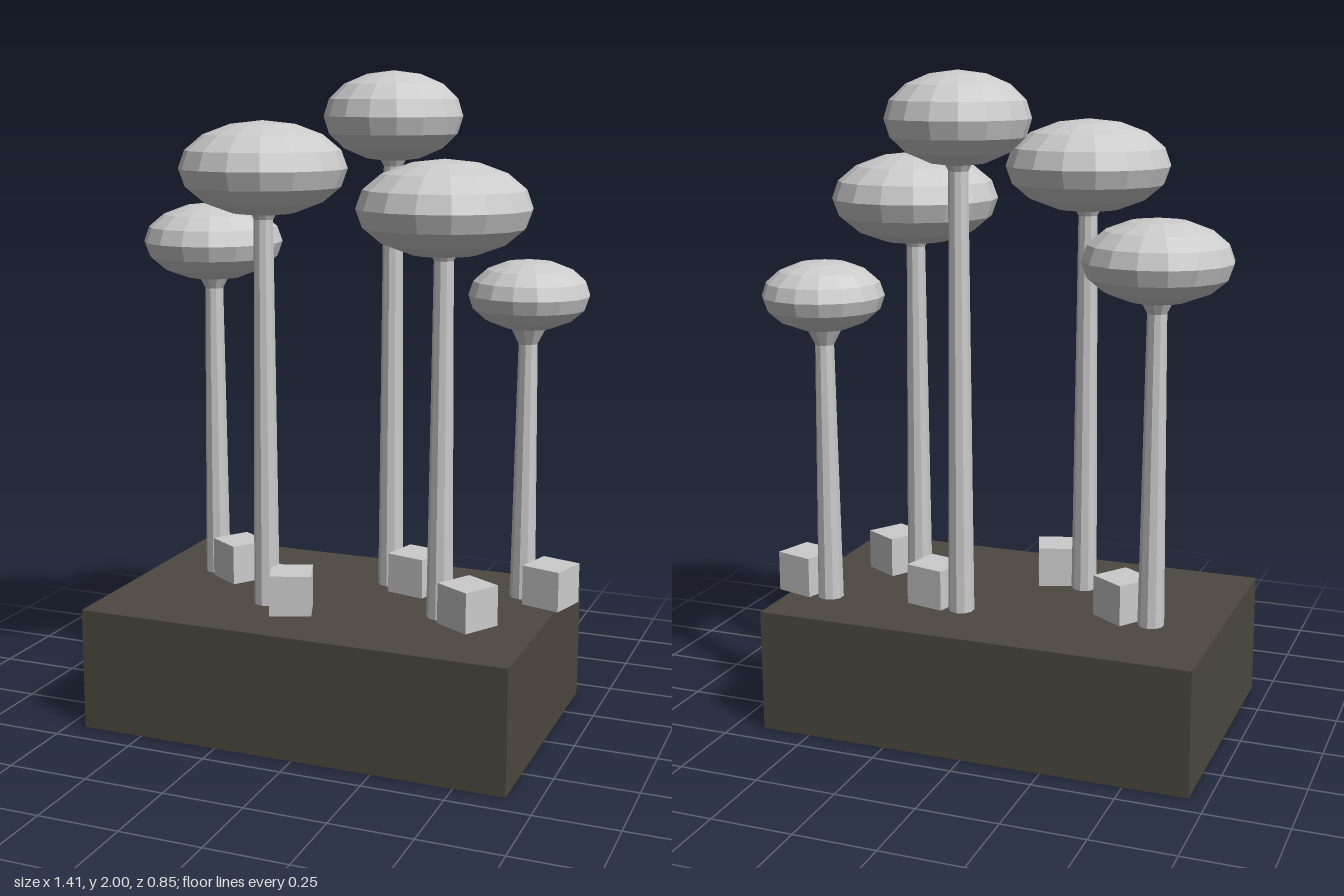
import * as THREE from 'three';

const grey = new THREE.MeshStandardMaterial({ color: 0xcccccc, flatShading: true });
const soil = new THREE.MeshStandardMaterial({ color: 0x4d4840, flatShading: true });
const GROUND = 0.38;

// x, z, crown centre height, crown radius, crown half height, block turn in degrees
const TREES = [
  [-0.49, -0.11, 1.47, 0.22, 0.123, -34],
  [-0.2, 0.14, 1.715, 0.25, 0.14, 20],
  [0.09, -0.185, 1.863, 0.213, 0.137, -14],
  [0.34, 0.07, 1.607, 0.257, 0.142, -31],
  [0.52, -0.215, 1.333, 0.185, 0.108, -16],
];

function addPart(parent, name, geometry, material, x, y, z) {
  const mesh = new THREE.Mesh(geometry, material);
  mesh.name = name;
  mesh.position.set(x, y, z);
  parent.add(mesh);
  return mesh;
}

function createTree([x, z, crownY, radius, halfHeight, turn]) {
  const tree = new THREE.Group();
  tree.name = 'tree';
  tree.position.set(x, GROUND, z);
  const top = crownY - GROUND;

  // Tapered trunk that flares out just under the crown
  const trunkProfile = [[0, 0], [0.04, 0], [0.029, top - 0.15], [0.075, top - 0.06], [0, top - 0.06]]
    .map(([r, y]) => new THREE.Vector2(r, y));
  addPart(tree, 'trunk', new THREE.LatheGeometry(trunkProfile, 10), grey, 0, 0, 0);

  // Flattened, faceted crown
  const crown = new THREE.SphereGeometry(1, 16, 8).scale(radius, halfHeight, radius);
  addPart(tree, 'crown', crown, grey, 0, top, 0);

  // Small turned block beside the trunk
  const block = addPart(tree, 'groundBlock', new THREE.BoxGeometry(0.127, 0.125, 0.127), grey, 0.1, 0.0625, 0.04);
  block.rotation.y = THREE.MathUtils.degToRad(turn);
  return tree;
}

export function createModel() {
  const model = new THREE.Group();
  model.name = 'treeGrove';
  addPart(model, 'base', new THREE.BoxGeometry(1.35, GROUND, 0.845), soil, -0.02, GROUND / 2, -0.002);
  for (const tree of TREES) model.add(createTree(tree));
  return model;
}
